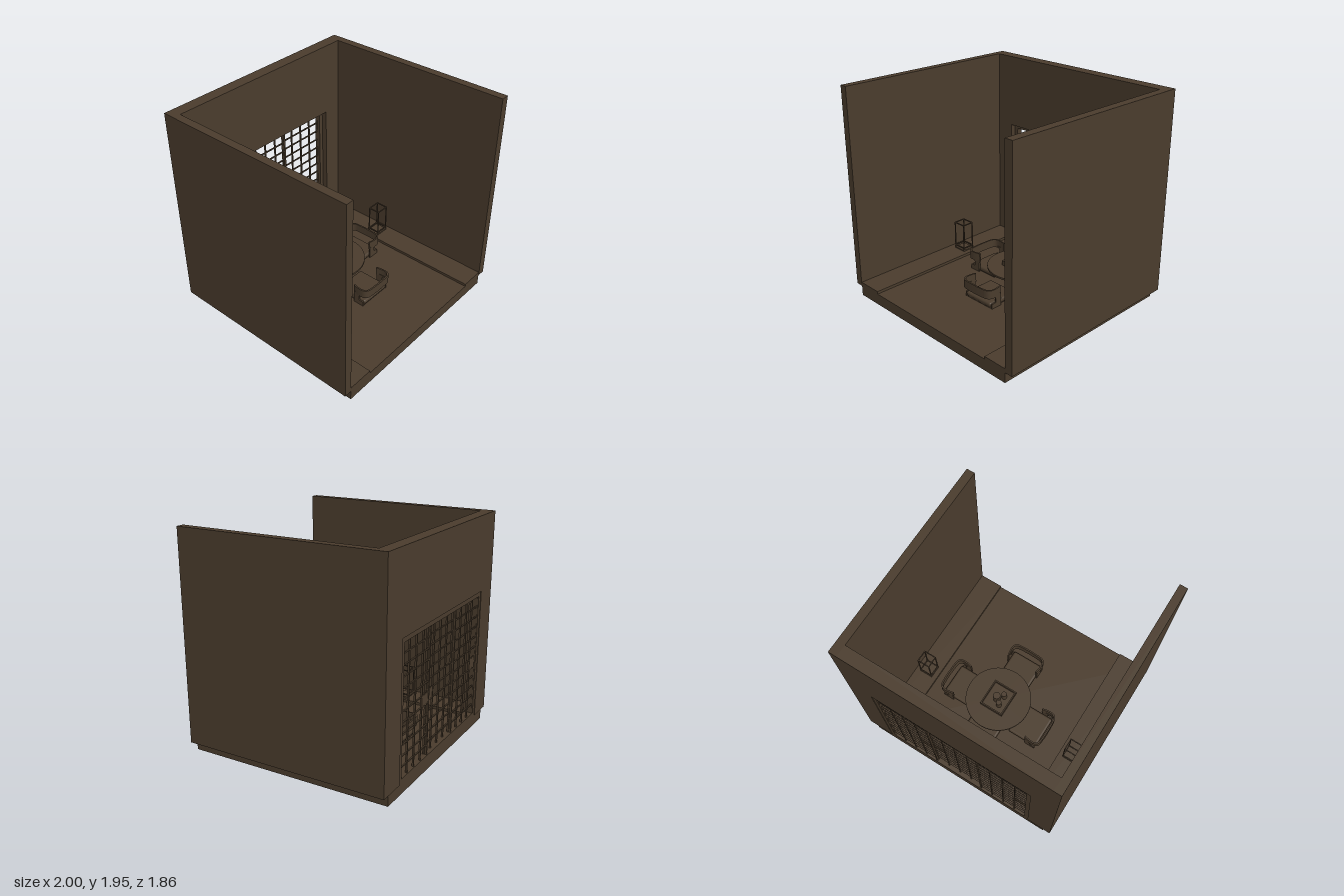
import * as THREE from 'three';
import { RoundedBoxGeometry } from 'three/addons/geometries/RoundedBoxGeometry.js';

const wood = new THREE.MeshStandardMaterial({ color: 0x4a3c2d });
wood.name = 'darkWood';

function add(parent, name, geometry, x = 0, y = 0, z = 0) {
  const mesh = new THREE.Mesh(geometry, wood);
  mesh.name = name;
  mesh.position.set(x, y, z);
  parent.add(mesh);
  return mesh;
}

// box given by its lower and upper limits on each axis
function block(parent, name, x0, x1, y0, y1, z0, z1) {
  return add(parent, name, new THREE.BoxGeometry(x1 - x0, y1 - y0, z1 - z0),
    (x0 + x1) / 2, (y0 + y1) / 2, (z0 + z1) / 2);
}

function group(parent, name) {
  const g = new THREE.Group();
  g.name = name;
  parent.add(g);
  return g;
}

function buildRoom(root) {
  const room = group(root, 'room');
  block(room, 'floor', -0.93, 0.925, 0, 0.105, -0.925, 0.928);
  block(room, 'rightPlatform', -0.93, -0.69, 0.105, 0.13, -0.82, 0.928);
  block(room, 'leftPlatform', 0.7, 0.925, 0.105, 0.13, -0.82, 0.928);
  block(room, 'rightWall', -1, -0.93, 0.095, 1.95, -0.93, 0.93);
  block(room, 'leftWall', 0.925, 1, 0.095, 1.95, -0.93, 0.93);
  // back wall with an opening down to the floor
  const s = new THREE.Shape();
  [[-0.93, 0.095], [-0.765, 0.095], [-0.765, 1.275], [0.75, 1.275], [0.75, 0.095],
    [0.925, 0.095], [0.925, 1.95], [-0.93, 1.95]]
    .forEach(([x, y], i) => (i ? s.lineTo(x, y) : s.moveTo(x, y)));
  add(room, 'backWall', new THREE.ExtrudeGeometry(s, { depth: 0.11, bevelEnabled: false }), 0, 0, -0.93);
}

function buildScreen(root) {
  const screen = group(root, 'latticeScreen');
  // fixed frame
  block(screen, 'frameRight', -0.765, -0.725, 0.095, 1.275, -0.925, -0.87);
  block(screen, 'frameLeft', 0.71, 0.75, 0.095, 1.275, -0.925, -0.87);
  block(screen, 'frameTop', -0.725, 0.71, 1.235, 1.275, -0.925, -0.87);
  block(screen, 'sill', -0.725, 0.71, 0.095, 0.13, -0.925, -0.83);
  // three sliding panels of four by twelve cells, on two tracks
  const edges = [-0.73, -0.25, 0.238, 0.716];
  const solid = [[0], [3], [0]];
  const y0 = 0.123, y1 = 1.235;
  for (let p = 0; p < 3; p++) {
    const panel = group(screen, 'slidingPanel');
    const z = p === 1 ? -0.888 : -0.908;
    const x0 = edges[p], w = (edges[p + 1] - x0) / 4;
    for (let i = 0; i <= 4; i++) {
      const t = i % 4 ? 0.005 : 0.0085;
      block(panel, 'upright', x0 + i * w - t, x0 + i * w + t, y0, y1, z - 0.008, z + 0.008);
    }
    for (let j = 0; j <= 12; j++) {
      const y = y0 + (y1 - y0) * j / 12;
      block(panel, 'crossbar', x0, x0 + 4 * w, y - 0.005, y + 0.005, z - 0.006, z + 0.006);
    }
    for (const c of solid[p]) {
      block(panel, 'handlePlate', x0 + c * w, x0 + (c + 1) * w, 0.59, 0.688, z - 0.0045, z + 0.0045);
    }
  }
}

function buildLantern(root, x) {
  const lantern = group(root, 'floorLantern');
  lantern.position.set(x, 0.13, -0.2);
  const h = 0.065, d = 0.06, t = 0.009;
  for (const sx of [-1, 1]) for (const sz of [-1, 1]) {
    add(lantern, 'post', new THREE.BoxGeometry(t, 0.28, t), sx * (h - t / 2), 0.14, sz * (d - t / 2));
  }
  for (const y of [0.035, 0.2755]) {
    for (const s of [-1, 1]) {
      add(lantern, 'railSide', new THREE.BoxGeometry(t, t, 2 * d), s * (h - t / 2), y, 0);
      add(lantern, 'railFront', new THREE.BoxGeometry(2 * h, t, t), 0, y, s * (d - t / 2));
    }
  }
  add(lantern, 'base', new THREE.BoxGeometry(2 * h, 0.012, 2 * d), 0, 0.008, 0);
}

function buildTable(root) {
  const table = group(root, 'table');
  table.position.set(0.05, 0, -0.14);
  add(table, 'tableTop', new THREE.CylinderGeometry(0.31, 0.31, 0.017, 64), 0, 0.278, 0);
  add(table, 'pedestal', new THREE.CylinderGeometry(0.032, 0.032, 0.17, 24), 0, 0.19, 0);
  add(table, 'pedestalFoot', new THREE.CylinderGeometry(0.09, 0.1, 0.014, 32), 0, 0.111, 0);
  // tray with raised rim
  add(table, 'trayBase', new THREE.BoxGeometry(0.235, 0.012, 0.265), 0, 0.292, 0.0);
  for (const s of [-1, 1]) {
    add(table, 'trayRimSide', new THREE.BoxGeometry(0.012, 0.044, 0.265), s * 0.1115, 0.308, 0);
    add(table, 'trayRimEnd', new THREE.BoxGeometry(0.235, 0.044, 0.012), 0, 0.308, s * 0.1265);
  }
  for (const [x, z, r, top] of [[-0.04, -0.055, 0.025, 0.385], [0.008, -0.012, 0.034, 0.405], [-0.04, 0.04, 0.025, 0.385]]) {
    add(table, 'cup', new THREE.CylinderGeometry(r, r, top - 0.298, 28), x, (top + 0.298) / 2, z);
  }
}

// U outline seen from above: half width w, back at b, arm ends at e
function tracePath(path, w, b, e, r) {
  path.moveTo(-w + 0.012, e);
  path.quadraticCurveTo(-w, e - 0.05, -w, b + r);
  path.quadraticCurveTo(-w, b + 0.006, -w + r, b + 0.004);
  path.quadraticCurveTo(0, b - 0.004, w - r, b + 0.004);
  path.quadraticCurveTo(w, b + 0.006, w, b + r);
  path.quadraticCurveTo(w, e - 0.05, w - 0.012, e);
}

function buildChair(root, x, z, turn) {
  const chair = group(root, 'legless chair');
  chair.name = 'floorChair';
  chair.position.set(x, 0, z);
  chair.rotation.y = turn;
  add(chair, 'seat', new RoundedBoxGeometry(0.31, 0.045, 0.305, 4, 0.02), 0, 0.137, 0.193);
  add(chair, 'seatBase', new RoundedBoxGeometry(0.29, 0.02, 0.285, 2, 0.008), 0, 0.114, 0.193);
  // wrap-around back band
  const outer = new THREE.Path(), inner = new THREE.Path();
  tracePath(outer, 0.175, 0.002, 0.16, 0.07);
  tracePath(inner, 0.161, 0.016, 0.16, 0.06);
  const band = new THREE.Shape([...outer.getPoints(10), ...inner.getPoints(10).reverse()]);
  const bandGeo = new THREE.ExtrudeGeometry(band, { depth: 0.08, bevelEnabled: false });
  bandGeo.rotateX(Math.PI / 2);
  add(chair, 'backBand', bandGeo, 0, 0.292, 0);
  // curved arm supports flaring into feet
  const leg = new THREE.Shape();
  leg.moveTo(0.05, 0.107);
  leg.lineTo(0.155, 0.107);
  leg.lineTo(0.158, 0.23);
  leg.lineTo(0.06, 0.23);
  leg.quadraticCurveTo(0.095, 0.215, 0.097, 0.185);
  leg.lineTo(0.097, 0.155);
  leg.lineTo(0.05, 0.152);
  const legGeo = new THREE.ExtrudeGeometry(leg, { depth: 0.013, bevelEnabled: false });
  legGeo.rotateY(-Math.PI / 2);
  add(chair, 'armSupport', legGeo, 0.168, 0, 0);
  add(chair, 'armSupport', legGeo, -0.155, 0, 0);
}

export function createModel() {
  const root = new THREE.Group();
  root.name = 'diningRoom';
  buildRoom(root);
  buildScreen(root);
  buildLantern(root, -0.8);
  buildLantern(root, 0.812);
  buildTable(root);
  buildChair(root, -0.515, -0.163, Math.PI / 2);
  buildChair(root, 0.6, -0.163, -Math.PI / 2);
  buildChair(root, 0.045, -0.68, 0);
  buildChair(root, 0.045, 0.435, Math.PI);
  return root;
}
